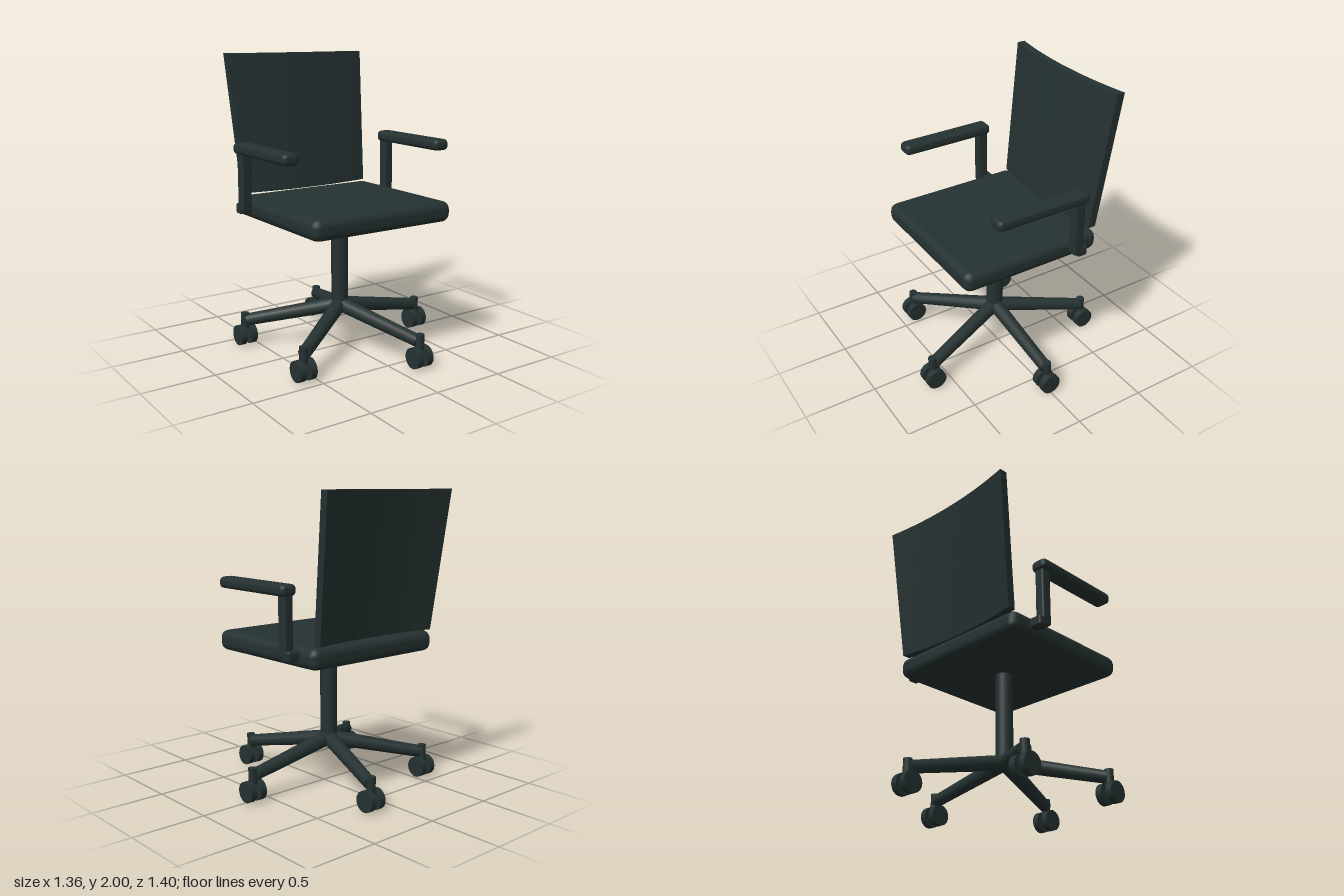
import * as THREE from 'three';
import { RoundedBoxGeometry } from 'three/addons/geometries/RoundedBoxGeometry.js';

export function createModel() {
  const chair = new THREE.Group();
  chair.name = 'officeChair';
  const charcoal = new THREE.MeshStandardMaterial({ color: 0x253131 });
  charcoal.name = 'charcoal';
  const CX = -0.043; // centre line of the seat and column

  const add = (name, geometry, x = 0, y = 0, z = 0, parent = chair) => {
    const mesh = new THREE.Mesh(geometry, charcoal);
    mesh.name = name;
    mesh.position.set(x, y, z);
    parent.add(mesh);
    return mesh;
  };
  // rounded block given by its size and centre
  const block = (name, [w, h, d], radius, [x, y, z], parent) =>
    add(name, new RoundedBoxGeometry(w, h, d, 2, radius), x, y, z, parent);

  // seat cushion
  block('seat', [1.07, 0.14, 1.005], 0.055, [CX, 0.98, 0.034]);

  // backrest: widens upward, leans back, bows forward in the middle
  const back = new THREE.BoxGeometry(2, 1, 0.055, 16, 4, 1);
  const p = back.attributes.position;
  for (let i = 0; i < p.count; i++) {
    const u = p.getX(i), t = p.getY(i) + 0.5;
    p.setXYZ(
      i,
      u * THREE.MathUtils.lerp(0.495, 0.543, t),
      THREE.MathUtils.lerp(1.063, 2, t),
      p.getZ(i) - THREE.MathUtils.lerp(0.4, 0.52, t) - 0.047 * u * u
    );
  }
  back.computeVertexNormals();
  add('backrest', back, CX);

  // armrests
  for (const side of [1, -1]) {
    const arm = new THREE.Group();
    arm.name = side > 0 ? 'leftArm' : 'rightArm';
    arm.position.x = CX;
    chair.add(arm);
    block('armPad', [0.116, 0.076, 0.673], 0.03, [side * 0.585, 1.398, 0.032], arm);
    block('armPost', [0.07, 0.41, 0.073], 0.015, [side * 0.582, 1.185, -0.254], arm);
    block('armBracket', [0.14, 0.07, 0.074], 0.015, [side * 0.547, 0.993, -0.287], arm);
  }

  // centre column
  add('column', new THREE.CylinderGeometry(0.058, 0.058, 0.62, 24), CX, 0.6, 0);

  // five-star base with twin-wheel casters, all rolling along z
  const R = 0.66;
  const hub = new THREE.Vector3(CX, 0.3, 0);
  const wheel = new THREE.CylinderGeometry(0.07, 0.07, 0.043, 24).rotateZ(Math.PI / 2);
  const stem = new THREE.CylinderGeometry(0.029, 0.029, 0.105, 16);
  for (let i = 0; i < 5; i++) {
    const a = (i * Math.PI * 2) / 5;
    const end = new THREE.Vector3(CX + R * Math.cos(a), 0.172, R * Math.sin(a));
    const tip = hub.clone().lerp(end, 0.98);
    const dir = tip.clone().sub(hub);
    const leg = add('leg', new THREE.CylinderGeometry(0.042, 0.052, dir.length(), 16));
    leg.position.copy(hub).addScaledVector(dir, 0.5);
    leg.quaternion.setFromUnitVectors(new THREE.Vector3(0, 1, 0), dir.normalize());

    const caster = new THREE.Group();
    caster.name = 'caster';
    caster.position.set(end.x, 0, end.z);
    chair.add(caster);
    add('casterStem', stem, 0, 0.172, 0, caster);
    for (const s of [1, -1]) add('wheel', wheel, s * 0.039, 0.07, 0, caster);
  }
  return chair;
}
